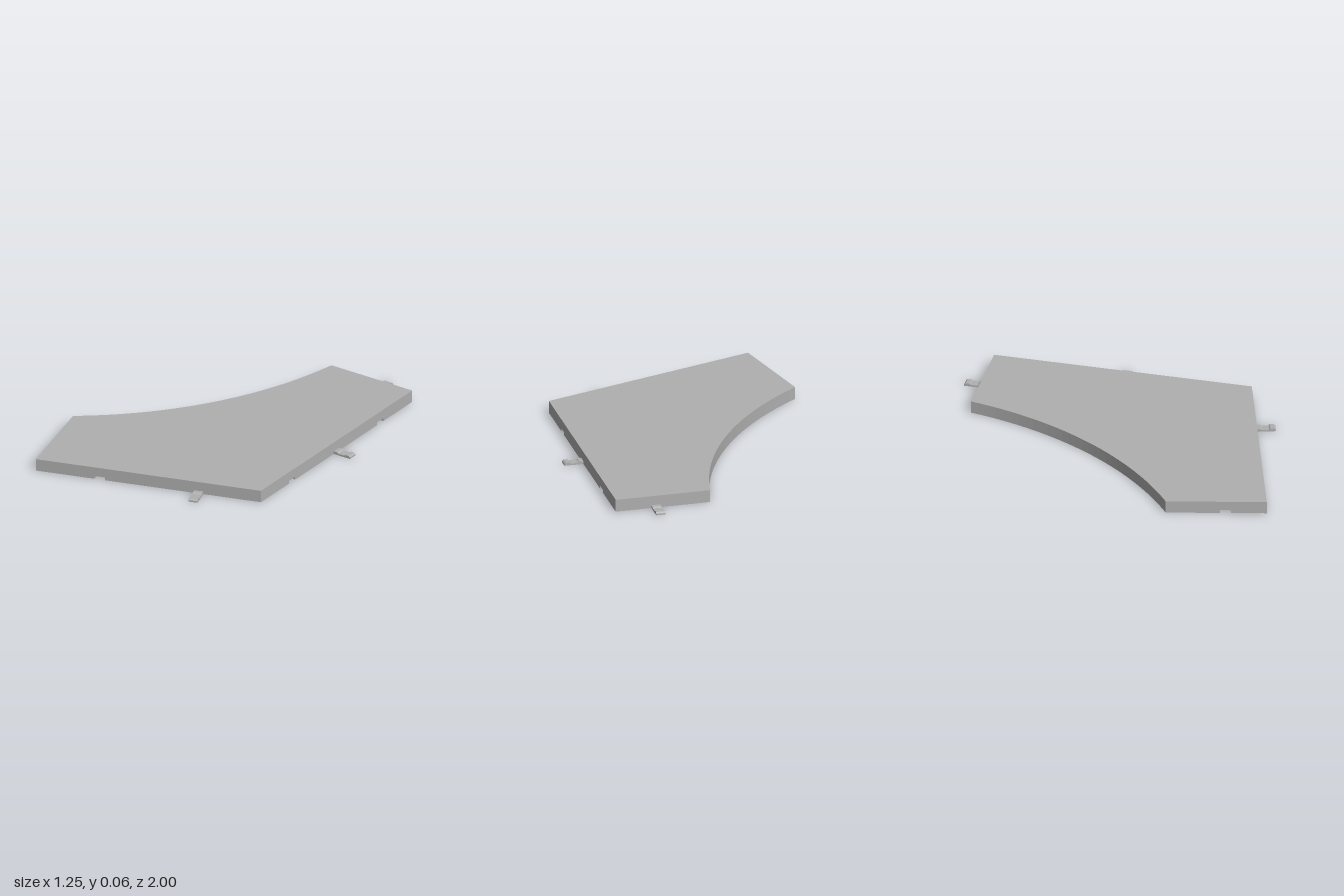
import * as THREE from 'three';

const TOP = 0.065, FLOOR = 0.05, SLOT = 0.016;
const CENTRE = [-2.115, -0.65]; // centre of the concave side

// corners in (x, z); the last and first are joined by the concave arc
const OUTER = [[-0.212, -0.82], [0.265, -0.955], [0.622, 0.345], [-0.38, 0.996], [-0.625, 0.545]];
const INNER = [[-0.188, -0.68], [0.167, -0.781], [0.457, 0.284], [-0.33, 0.796], [-0.523, 0.441]];

// points of the arc strictly between its two ends
function arc(from, to, n = 32) {
  const polar = ([x, z]) => [Math.atan2(z - CENTRE[1], x - CENTRE[0]), Math.hypot(x - CENTRE[0], z - CENTRE[1])];
  const [a0, r0] = polar(from), [a1, r1] = polar(to);
  return Array.from({ length: n - 1 }, (_, i) => {
    const t = (i + 1) / n, a = a0 + (a1 - a0) * t, r = r0 + (r1 - r0) * t;
    return [CENTRE[0] + r * Math.cos(a), CENTRE[1] + r * Math.sin(a)];
  });
}

const closed = (c) => [...c, ...arc(c[4], c[0])];

// point at distance d along edge i, moved inwards by depth
function edgePoint(i, d, depth = 0) {
  const [ax, az] = OUTER[i], [bx, bz] = OUTER[i + 1];
  const len = Math.hypot(bx - ax, bz - az);
  const ux = (bx - ax) / len, uz = (bz - az) / len;
  return [ax + ux * d - uz * depth, az + uz * d + ux * depth];
}

// outline with rectangular slots cut into the straight edges
function slottedOutline(slots, width, depth) {
  const pts = [];
  OUTER.forEach((p, i) => {
    pts.push(p);
    slots.filter((s) => s[0] === i).forEach(([, d]) => {
      const a = d - width / 2, b = d + width / 2;
      pts.push(edgePoint(i, a), edgePoint(i, a, depth), edgePoint(i, b, depth), edgePoint(i, b));
    });
  });
  return [...pts, ...arc(OUTER[4], OUTER[0])];
}

// horizontal slab between two heights, with an optional opening
function slab(points, y0, y1, hole) {
  const vec = (list) => list.map(([x, z]) => new THREE.Vector2(x, -z));
  const shape = new THREE.Shape(vec(points));
  if (hole) shape.holes.push(new THREE.Path(vec(hole)));
  const g = new THREE.ExtrudeGeometry(shape, { depth: y1 - y0, bevelEnabled: false });
  return g.rotateX(-Math.PI / 2).translate(0, y0, 0);
}

// stretches of the line coordinate[axis] = value that lie inside a polygon
function spans(poly, axis, value) {
  const hits = [];
  poly.forEach((p, i) => {
    const q = poly[(i + 1) % poly.length];
    if ((p[axis] < value) !== (q[axis] < value)) {
      const t = (value - p[axis]) / (q[axis] - p[axis]);
      hits.push(p[1 - axis] + t * (q[1 - axis] - p[1 - axis]));
    }
  });
  hits.sort((a, b) => a - b);
  const out = [];
  for (let i = 0; i + 1 < hits.length; i += 2) out.push([hits[i], hits[i + 1]]);
  return out;
}

export function createModel() {
  const group = new THREE.Group();
  const grey = new THREE.MeshStandardMaterial({ color: 0xb0b0b0 });
  grey.name = 'grey';
  const add = (name, geometry, parent = group) => {
    const mesh = new THREE.Mesh(geometry, grey);
    mesh.name = name;
    parent.add(mesh);
    return mesh;
  };

  // top plate and the hollow frame under it
  const outer = closed(OUTER), inner = closed(INNER);
  add('topPlate', slab(outer, FLOOR, TOP));
  add('upperFrame', slab(outer, SLOT, FLOOR, inner));
  const slots = [[1, 0.285], [1, 1.07], [2, 0.855], [3, 0.21]];
  add('slottedFrame', slab(slottedOutline(slots, 0.055, 0.1), 0, SLOT, inner));

  // square lattice of stiffening ribs in the hollow
  const ribs = new THREE.Group();
  ribs.name = 'ribs';
  group.add(ribs);
  const pitch = 0.26, thick = 0.024;
  for (const axis of [0, 1]) {
    for (let k = -4; k <= 4; k++) {
      const value = k * pitch + (axis ? 0.02 : -0.06);
      for (const [a, b] of spans(inner, axis, value)) {
        const len = b - a + 0.016, mid = (a + b) / 2;
        const size = axis ? [len, FLOOR, thick] : [thick, FLOOR, len];
        const rib = add('rib', new THREE.BoxGeometry(...size), ribs);
        rib.position.set(axis ? mid : value, FLOOR / 2, axis ? value : mid);
      }
    }
  }

  // connecting tabs with a raised catch near the tip
  const profile = new THREE.Shape([
    [-0.02, 0], [0.1, 0], [0.1, 0.008], [0.092, 0.015], [0.072, 0.015], [0.066, 0.009], [0.03, 0.009], [0.02, 0.015], [-0.02, 0.015],
  ].map(([x, y]) => new THREE.Vector2(x, y)));
  for (const [edge, d] of [[0, 0.285], [1, 0.675], [2, 0.33]]) {
    const tab = add('tab', new THREE.ExtrudeGeometry(profile, { depth: 0.048, bevelEnabled: false }).translate(0, 0, -0.024));
    const [x, z] = edgePoint(edge, d), [ox, oz] = edgePoint(edge, d, -1);
    tab.position.set(x, 0, z);
    tab.rotation.y = Math.atan2(-(oz - z), ox - x);
  }
  return group;
}
